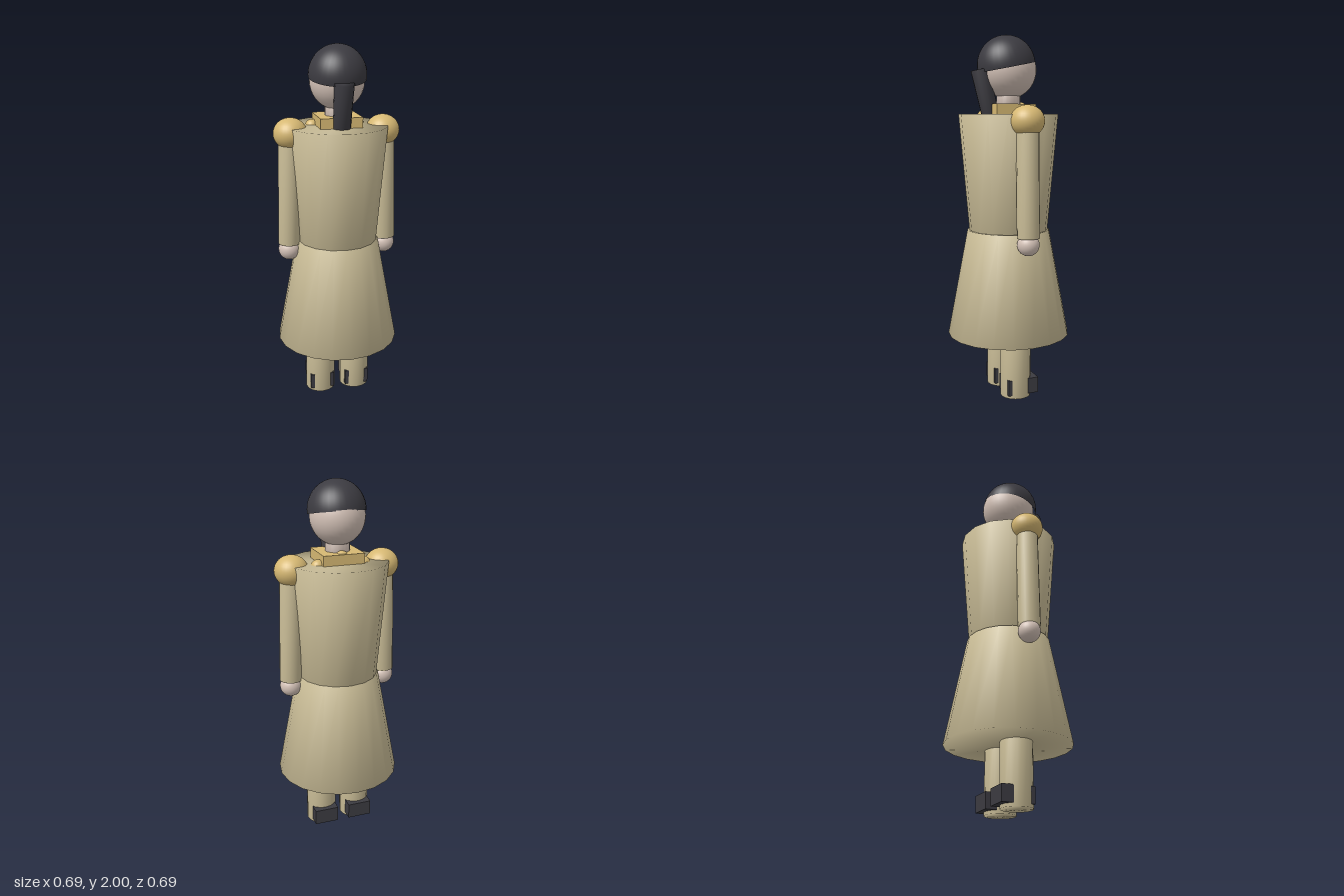
import * as THREE from 'three';
import { mergeVertices } from 'three/addons/utils/BufferGeometryUtils.js';

const flat = (name, color) => {
  const m = new THREE.MeshStandardMaterial({ color });
  m.name = name;
  return m;
};

// Closed cylinder whose shading runs smoothly over the rims
function softCylinder(rTop, rBottom, height, sides) {
  const g = new THREE.CylinderGeometry(rTop, rBottom, height, sides);
  g.deleteAttribute('uv');
  g.deleteAttribute('normal');
  const merged = mergeVertices(g);
  merged.computeVertexNormals();
  return merged;
}

export function createModel() {
  const coat = flat('coat tan', 0xcabd97);
  const gold = flat('gold', 0xd6b873);
  const skin = flat('skin', 0xd4c2b7);
  const dark = flat('dark grey', 0x3c3b41);
  const model = new THREE.Group();
  model.name = 'officer';

  const add = (name, geometry, material, x, y, z) => {
    const mesh = new THREE.Mesh(geometry, material);
    mesh.name = name;
    mesh.position.set(x, y, z);
    model.add(mesh);
    return mesh;
  };
  const ball = (name, material, r, x, y, z, sy = 1) => {
    const mesh = add(name, new THREE.SphereGeometry(r, 32, 20), material, x, y, z);
    mesh.scale.y = sy;
    return mesh;
  };
  // Cylinder between two points in space
  const rod = (name, material, rTop, rBottom, top, bottom, sides) => {
    const a = new THREE.Vector3(...top), b = new THREE.Vector3(...bottom);
    const mid = a.clone().add(b).multiplyScalar(0.5);
    const mesh = add(name, softCylinder(rTop, rBottom, a.distanceTo(b), sides), material, mid.x, mid.y, mid.z);
    mesh.quaternion.setFromUnitVectors(new THREE.Vector3(0, 1, 0), a.sub(b).normalize());
    return mesh;
  };

  // Coat
  rod('coatSkirt', coat, 0.23, 0.343, [0, 0.935, 0], [0, 0.34, 0], 20);
  rod('coatBody', coat, 0.275, 0.22, [0, 1.575, 0], [0, 0.935, 0], 16);

  // Collar, neck and the small gold studs around it
  add('collar', new THREE.BoxGeometry(0.228, 0.1, 0.228), gold, 0, 1.58, 0);
  rod('neck', skin, 0.066, 0.066, [0, 1.72, 0], [0, 1.6, 0], 20);
  ball('collarStud', gold, 0.037, 0, 1.605, -0.07);

  // Head and hair
  const head = ball('head', skin, 0.155, 0, 1.813, 0);
  head.scale.x = 0.95;
  const hairCap = new THREE.SphereGeometry(0.16, 32, 20, 0, Math.PI * 2, 0, Math.PI / 2 + 0.08);
  const hair = add('hair', hairCap, dark, 0, 1.84, 0.012);
  hair.scale.x = 0.97;
  hair.rotation.x = 0.2;
  rod('ponytail', dark, 0.052, 0.046, [0, 1.815, 0.165], [0, 1.54, 0.1], 14);

  // Mirrored limbs
  for (const [side, s] of [['left', 1], ['right', -1]]) {
    ball(side + 'Epaulette', gold, 0.092, s * 0.255, 1.54, 0, 0.91);
    ball(side + 'Stud', gold, 0.037, s * 0.127, 1.565, -0.055);
    rod(side + 'Sleeve', coat, 0.061, 0.061, [s * 0.258, 1.55, 0], [s * 0.274, 0.925, 0], 16);
    ball(side + 'Hand', skin, 0.06, s * 0.274, 0.89, 0);
    rod(side + 'Leg', coat, 0.085, 0.085, [s * 0.103, 0.42, 0], [s * 0.103, 0, 0], 16);
    add(side + 'Shoe', new THREE.BoxGeometry(0.138, 0.088, 0.18), dark, s * 0.103, 0.062, -0.021);
  }
  return model;
}
